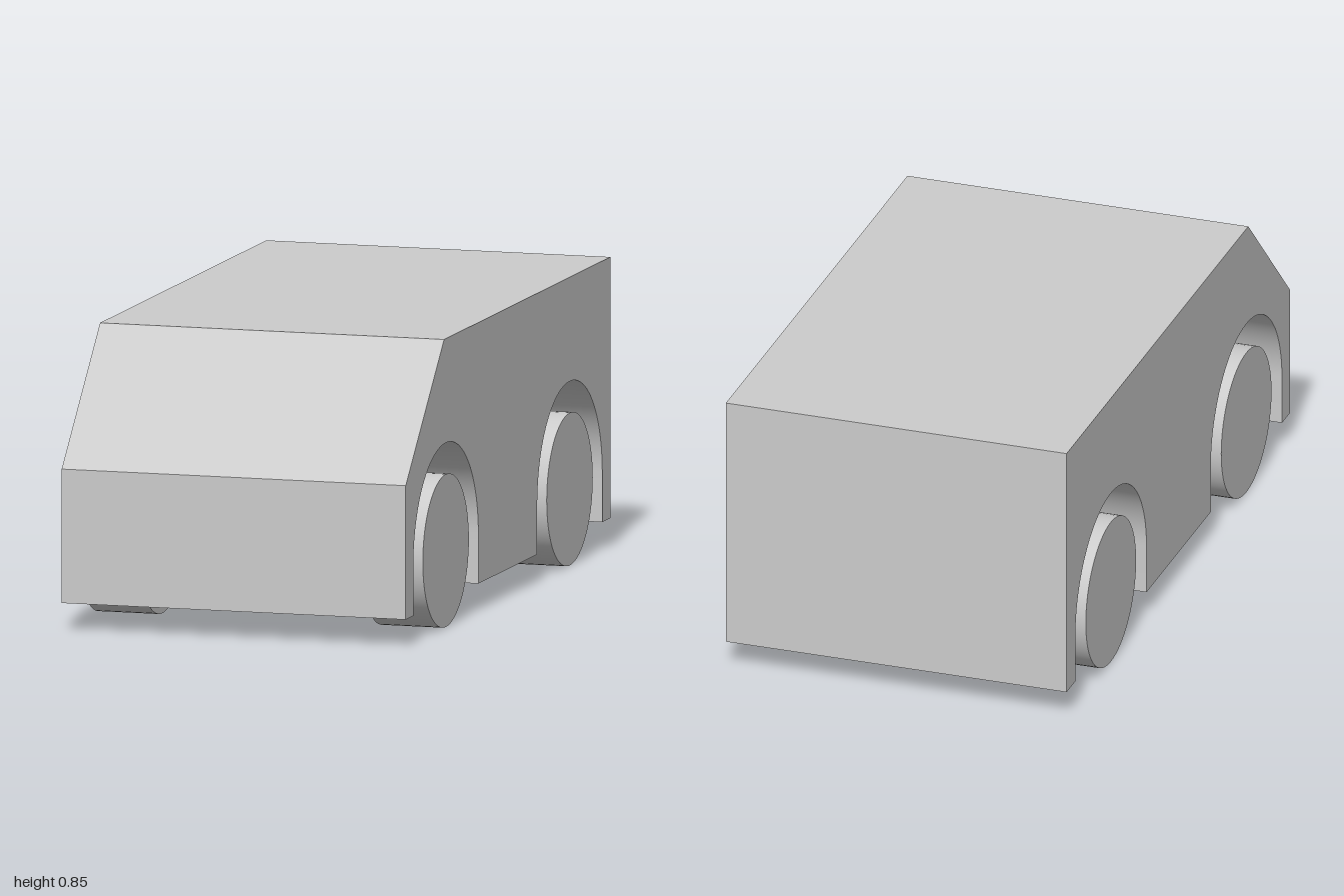
import * as THREE from 'three';
import { toCreasedNormals } from 'three/addons/utils/BufferGeometryUtils.js';

const HALF_WIDTH = 0.525;
const FLOOR = 0.08;
const ROOF = 0.85;
const AXLE_Y = 0.225;
const AXLES = { rear: -0.603, front: 0.608 };
const WHEEL_RADIUS = 0.225;
const WHEEL_WIDTH = 0.185;
const ARCH_RADIUS = 0.318;

export function createModel() {
  const model = new THREE.Group();
  model.name = 'van';
  const material = new THREE.MeshStandardMaterial({ color: 0xcccccc });

  // Side profile (z, y) with wheel arches cut across the full width
  const profile = new THREE.Shape();
  profile.moveTo(-1, FLOOR);
  for (const z of [AXLES.rear, AXLES.front]) {
    profile.lineTo(z - ARCH_RADIUS, FLOOR);
    profile.lineTo(z - ARCH_RADIUS, AXLE_Y);
    profile.absarc(z, AXLE_Y, ARCH_RADIUS, Math.PI, 0, true);
    profile.lineTo(z + ARCH_RADIUS, FLOOR);
  }
  profile.lineTo(1, FLOOR);
  profile.lineTo(1, 0.475);
  profile.lineTo(0.625, ROOF);
  profile.lineTo(-1, ROOF);
  profile.closePath();

  // Body: extrude the profile across the width
  const bodyGeometry = new THREE.ExtrudeGeometry(profile, {
    depth: HALF_WIDTH * 2, bevelEnabled: false, curveSegments: 40,
  });
  bodyGeometry.rotateY(-Math.PI / 2).translate(HALF_WIDTH, 0, 0);
  const body = new THREE.Mesh(toCreasedNormals(bodyGeometry, 0.4), material);
  body.name = 'body';
  model.add(body);

  // Wheels: plain discs flush with the body sides
  const wheelGeometry = new THREE.CylinderGeometry(WHEEL_RADIUS, WHEEL_RADIUS, WHEEL_WIDTH, 64);
  wheelGeometry.rotateZ(Math.PI / 2);
  for (const [end, z] of Object.entries(AXLES)) {
    for (const side of [-1, 1]) {
      const wheel = new THREE.Mesh(wheelGeometry, material);
      wheel.name = `${end}${side > 0 ? 'Left' : 'Right'}Wheel`;
      wheel.position.set(side * (HALF_WIDTH - WHEEL_WIDTH / 2), AXLE_Y, z);
      model.add(wheel);
    }
  }
  return model;
}
